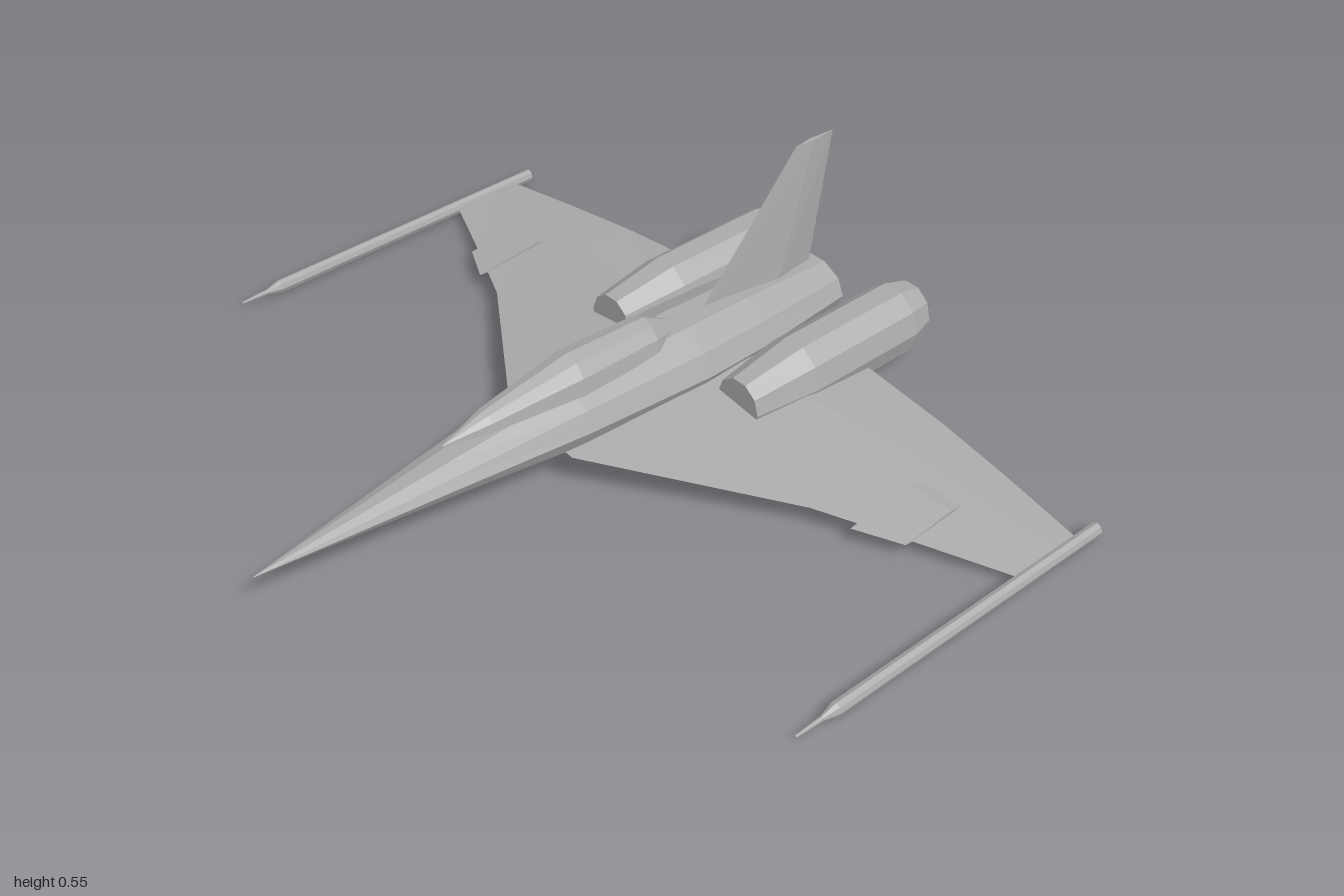
import * as THREE from 'three';

const paint = new THREE.MeshStandardMaterial({ color: 0xaaaaaa, flatShading: true });
paint.name = 'airframe grey';

// Skin a list of equal-length rings and close both ends with fans.
function loft(name, rings) {
  const pos = [];
  const tri = (...pts) => pts.forEach((p) => pos.push(...p));
  const mid = (ring) => [0, 1, 2].map((k) => ring.reduce((s, p) => s + p[k], 0) / ring.length);
  const n = rings[0].length;
  for (let i = 0; i < n; i++) {
    const j = (i + 1) % n;
    for (let r = 0; r + 1 < rings.length; r++) {
      const a = rings[r], b = rings[r + 1];
      tri(a[i], b[i], a[j]);
      tri(a[j], b[i], b[j]);
    }
    const first = rings[0], last = rings[rings.length - 1];
    tri(mid(first), first[i], first[j]);
    tri(mid(last), last[j], last[i]);
  }
  const geometry = new THREE.BufferGeometry();
  geometry.setAttribute('position', new THREE.Float32BufferAttribute(pos, 3));
  geometry.computeVertexNormals();
  const mesh = new THREE.Mesh(geometry, paint);
  mesh.name = name;
  return mesh;
}

// Elliptical ring facing the nose, full or upper half only.
function ring(z, cx, cy, rx, ry, sides = 10, half = false) {
  return Array.from({ length: half ? sides + 1 : sides }, (_, i) => {
    const a = (i / sides) * Math.PI * (half ? 1 : 2);
    return [cx + rx * Math.cos(a), cy + ry * Math.sin(a), z];
  });
}

// Diamond wing section: leading edge, top ridge, trailing edge, bottom ridge.
const wingY = (x) => 0.106 - 0.087 * x;
const wingHalf = (x) => 0.034 - 0.029 * x;
function wingSection(side, [x, lead, ridge, trail], extra = 0) {
  const y = wingY(x), t = wingHalf(x) + extra, X = side * x;
  return [[X, y, lead], [X, y + t, ridge], [X, y, trail], [X, y - t, ridge]];
}
// Reversing the order on the mirrored side keeps the faces outward.
const mirrored = (side, list) => (side > 0 ? list : list.reverse());

export function createModel() {
  const model = new THREE.Group();
  model.name = 'jetFighter';

  // Fuselage: z, centre height, half width, half height
  model.add(loft('fuselage', [
    [0.89, 0.125, 0.001, 0.001],
    [0.4, 0.136, 0.068, 0.043],
    [0.05, 0.14, 0.113, 0.08],
    [-0.3, 0.137, 0.135, 0.093],
    [-0.5, 0.134, 0.128, 0.09],
    [-0.78, 0.13, 0.1, 0.072],
  ].map(([z, y, rx, ry]) => ring(z, 0, y, rx, ry))));

  // Canopy: z, base height, half width, dome height
  model.add(loft('canopy', [
    [0.39, 0.208, 0.002, 0.004],
    [0.27, 0.208, 0.034, 0.042],
    [0.03, 0.208, 0.066, 0.082],
    [-0.2, 0.208, 0.06, 0.073],
    [-0.29, 0.208, 0.022, 0.025],
  ].map(([z, y, rx, ry]) => ring(z, 0, y, rx, ry, 6, true))));

  // Tail fin: height, leading edge, widest point, trailing edge, half thickness
  model.add(loft('tailFin', [
    [0.19, -0.37, -0.62, -0.755, 0.023],
    [0.55, -0.68, -0.735, -0.805, 0.007],
  ].map(([y, lead, wide, trail, t]) => [[t, y, wide], [0, y, lead], [-t, y, wide], [0, y, trail]])));

  for (const side of [1, -1]) {
    const label = side > 0 ? 'left' : 'right';

    // Wing: x, leading edge, ridge, trailing edge
    model.add(loft(label + 'Wing', mirrored(side, [
      [0.05, 0.11, -0.38, -0.67],
      [0.11, 0.11, -0.4, -0.67],
      [0.55, -0.205, -0.5, -0.655],
      [0.75, -0.305, -0.52, -0.637],
      [0.98, -0.415, -0.545, -0.61],
    ].map((s) => wingSection(side, s)))));

    // Raised leading-edge panel
    model.add(loft(label + 'WingPanel', mirrored(side, [
      [0.65, -0.23, -0.42, -0.51],
      [0.76, -0.29, -0.44, -0.52],
    ].map((s) => wingSection(side, s, 0.004)))));

    // Engine nacelle
    const ex = side * 0.222;
    model.add(loft(label + 'Engine', [
      [-0.3, 0.065, 0.067],
      [-0.48, 0.087, 0.096],
      [-0.82, 0.087, 0.096],
      [-0.89, 0.067, 0.076],
    ].map(([z, rx, ry]) => ring(z, ex, 0.108, rx, ry))));

    // Wingtip rail with a slim probe
    model.add(loft(label + 'TipRail', [
      [0.28, 0.003],
      [0.205, 0.006],
      [0.165, 0.016],
      [-0.67, 0.016],
    ].map(([z, r]) => ring(z, side * 0.984, 0.018, r, r * 1.12, 8))));
  }
  return model;
}
